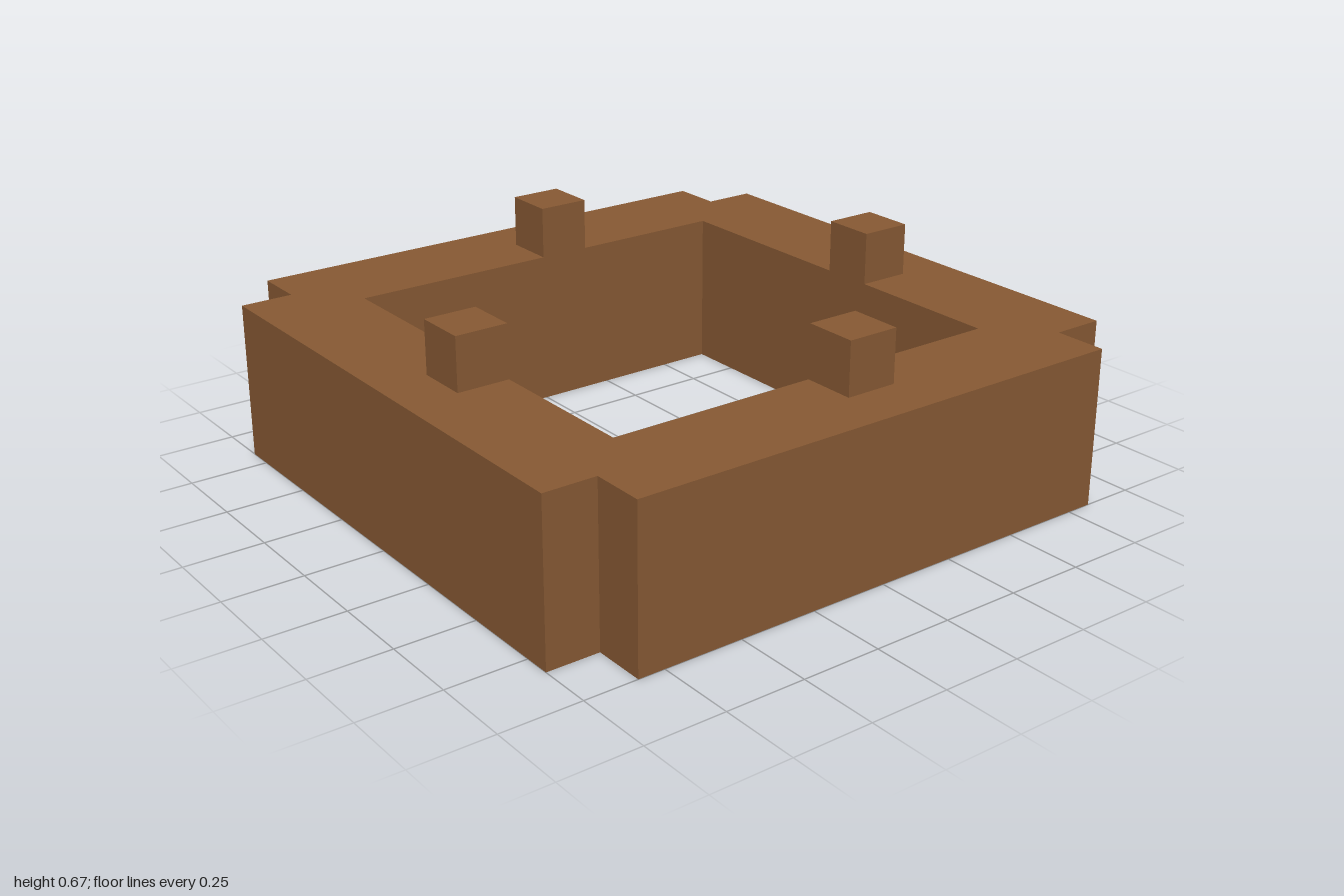
import * as THREE from 'three';

const U = 1 / 6; // one block unit

export function createModel() {
  const model = new THREE.Group();
  model.name = 'squareWall';
  const wood = new THREE.MeshStandardMaterial({ color: 0x885a34 });
  wood.name = 'brown wood';

  // Square ring with a notch cut out of each outer corner
  const outline = [];
  for (let i = 0; i < 4; i++) {
    const c = Math.round(Math.cos(i * Math.PI / 2));
    const s = Math.round(Math.sin(i * Math.PI / 2));
    for (const [x, y] of [[6, 5], [5, 5], [5, 6]]) {
      outline.push(new THREE.Vector2((x * c - y * s) * U, (x * s + y * c) * U));
    }
  }
  const shape = new THREE.Shape(outline);
  const h = 4 * U;
  shape.holes.push(new THREE.Path([[-h, -h], [-h, h], [h, h], [h, -h]].map(([x, y]) => new THREE.Vector2(x, y))));
  const ringGeometry = new THREE.ExtrudeGeometry(shape, { depth: 3 * U, bevelEnabled: false });
  ringGeometry.rotateX(-Math.PI / 2);
  const ring = new THREE.Mesh(ringGeometry, wood);
  ring.name = 'wallRing';
  model.add(ring);

  // One small post on each side, set half a unit off the middle
  const postGeometry = new THREE.BoxGeometry(U, U, U);
  const posts = { frontPost: [0.5, 4.5], backPost: [0.5, -4.5], leftPost: [4.5, 0.5], rightPost: [-4.5, 0.5] };
  for (const [name, [x, z]] of Object.entries(posts)) {
    const post = new THREE.Mesh(postGeometry, wood);
    post.name = name;
    post.position.set(x * U, 3.5 * U, z * U);
    model.add(post);
  }
  return model;
}
